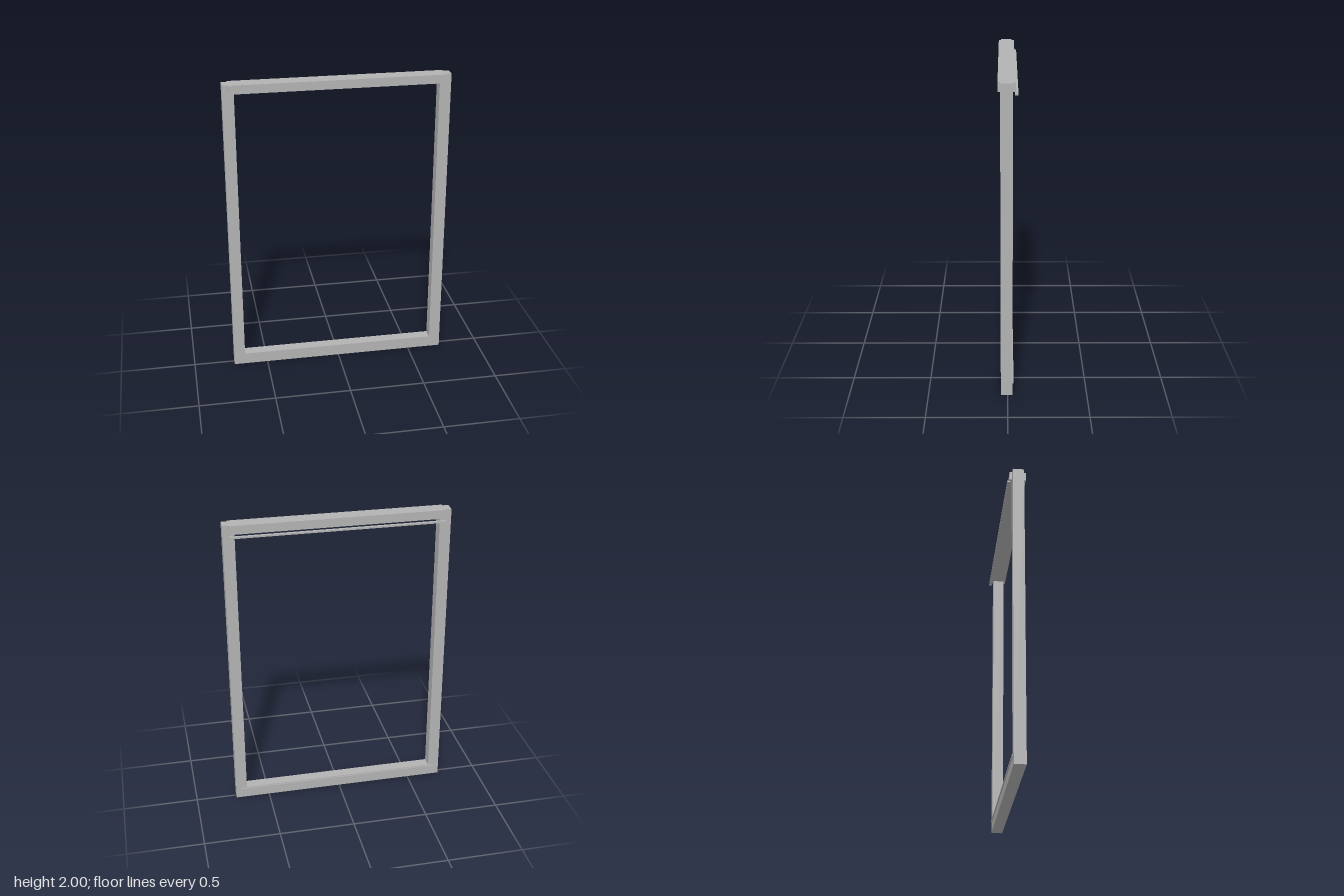
import * as THREE from 'three';

export function createModel() {
  const group = new THREE.Group();
  group.name = 'openFrame';
  const grey = new THREE.MeshStandardMaterial({ color: 0xb2b2b2 });
  grey.name = 'grey';

  const W = 0.728, INNER = 0.654, CAP = 0.69, CAP_Y = 1.943, SILL = 0.077;

  // U-shaped frame: two posts and a bottom rail, notched for the header
  const half = [[W, 0], [W, 2], [CAP, 2], [CAP, CAP_Y], [INNER, CAP_Y], [INNER, SILL]];
  const outline = [...half, ...half.map(([x, y]) => [-x, y]).reverse()];
  const shape = new THREE.Shape(outline.map(([x, y]) => new THREE.Vector2(x, y)));
  const frame = new THREE.Mesh(
    new THREE.ExtrudeGeometry(shape, { depth: 0.074, bevelEnabled: false }), grey);
  frame.position.z = -0.031;
  frame.name = 'postsAndSill';
  group.add(frame);

  // Horizontal bar between given heights and depths
  function bar(name, y0, y1, z0, z1) {
    const mesh = new THREE.Mesh(new THREE.BoxGeometry(CAP * 2, y1 - y0, z1 - z0), grey);
    mesh.position.set(0, (y0 + y1) / 2, (z0 + z1) / 2);
    mesh.name = name;
    group.add(mesh);
  }
  bar('header', CAP_Y, 2, -0.047, 0.058);
  bar('upperBackStrip', 1.921, 1.932, -0.063, -0.043);
  bar('lowerBackStrip', 0.062, 0.071, -0.038, -0.031);

  return group;
}
